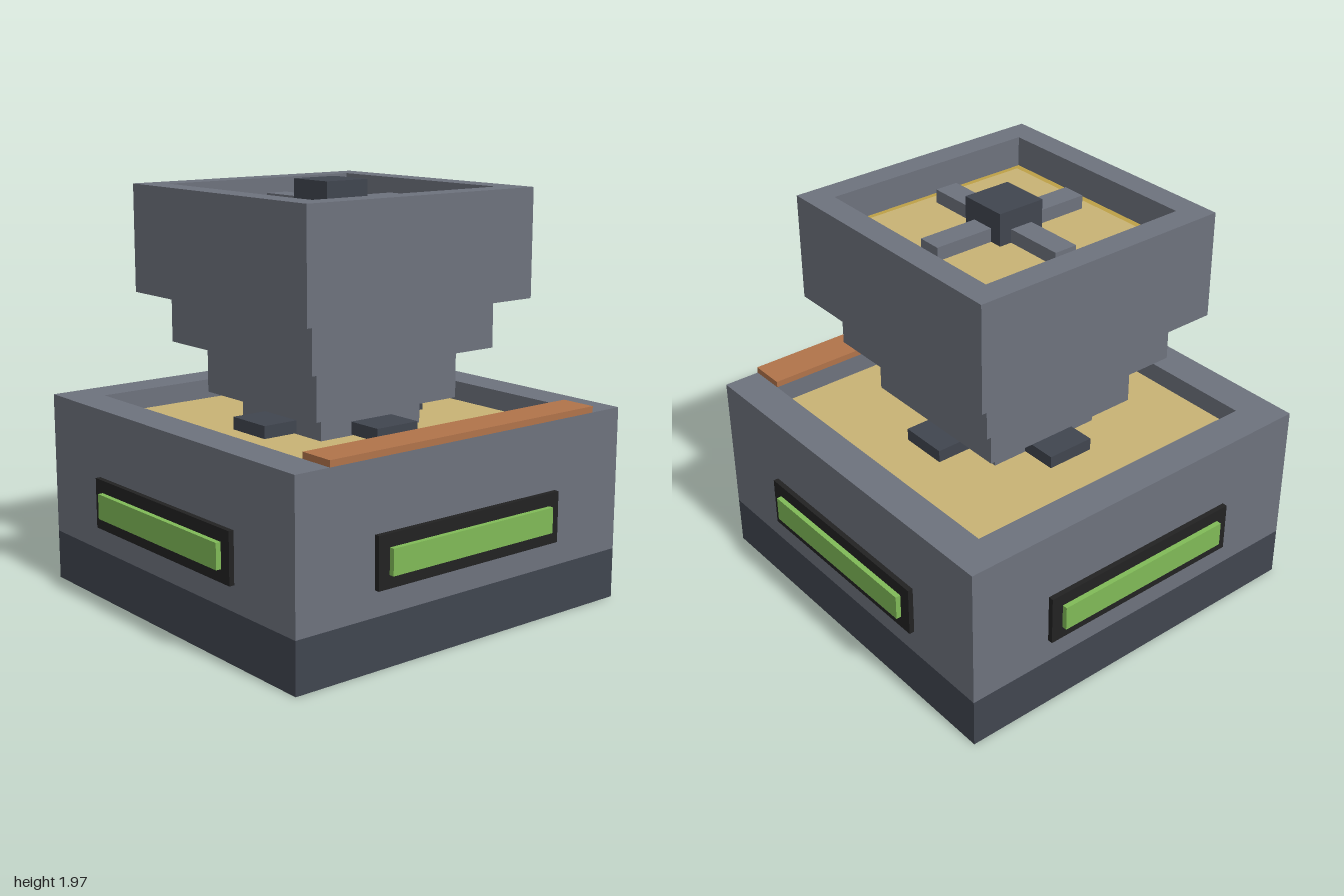
import * as THREE from 'three';

const mat = (name, color) => {
  const m = new THREE.MeshStandardMaterial({ color });
  m.name = name;
  return m;
};

export function createModel() {
  const model = new THREE.Group();
  model.name = 'hopperMachine';

  const casing = mat('casingGrey', 0x6d727d);
  const dark = mat('darkSteel', 0x40454f);
  const black = mat('frameBlack', 0x222222);
  const green = mat('lampGreen', 0x80ba57);
  const copper = mat('copper', 0xb0734a);
  const sand = mat('sand', 0xc8b274);
  const gold = mat('gold', 0xbda046);

  const add = (name, geometry, material, parent = model) => {
    const mesh = new THREE.Mesh(geometry, material);
    mesh.name = name;
    parent.add(mesh);
    return mesh;
  };

  // Box given by its limits on each axis
  const box = (name, material, [x0, x1], [y0, y1], [z0, z1], parent) => {
    const g = new THREE.BoxGeometry(x1 - x0, y1 - y0, z1 - z0);
    g.translate((x0 + x1) / 2, (y0 + y1) / 2, (z0 + z1) / 2);
    return add(name, g, material, parent);
  };
  const block = (name, material, half, y) => box(name, material, [-half, half], y, [-half, half]);

  // Square wall ring standing between two heights
  const square = (path, h) => path.moveTo(-h, -h).lineTo(h, -h).lineTo(h, h).lineTo(-h, h).closePath();
  const ring = (name, outer, inner, [y0, y1]) => {
    const shape = new THREE.Shape();
    square(shape, outer);
    const hole = new THREE.Path();
    square(hole, inner);
    shape.holes.push(hole);
    const g = new THREE.ExtrudeGeometry(shape, { depth: y1 - y0, bevelEnabled: false });
    g.rotateX(-Math.PI / 2).translate(0, y0, 0);
    add(name, g, casing);
  };

  // Base with a shallow sand tray
  block('plinth', dark, 0.95, [0, 0.24]);
  ring('baseWalls', 0.95, 0.773, [0.24, 0.925]);
  block('trayFloor', sand, 0.773, [0.24, 0.83]);
  box('frontPlank', copper, [-0.773, 0.773], [0.925, 0.955], [0.773, 0.95]);

  // Stepped neck and open bowl
  block('neckFoot', casing, 0.297, [0.83, 0.955]);
  block('neckLower', casing, 0.415, [0.955, 1.195]);
  block('neckUpper', casing, 0.534, [1.195, 1.43]);
  ring('bowlWalls', 0.655, 0.534, [1.43, 1.94]);
  block('bowlFloor', gold, 0.534, [1.43, 1.795]);
  block('bowlFill', sand, 0.475, [1.795, 1.815]);
  block('rotorHub', dark, 0.12, [1.815, 1.97]);

  // Lamp, neck bracket and rotor arm repeated on each of the four sides
  ['front', 'left', 'back', 'right'].forEach((side, i) => {
    const group = new THREE.Group();
    group.name = side + 'Side';
    group.rotation.y = i * Math.PI / 2;
    box('lampFrame', black, [-0.534, 0.534], [0.36, 0.6], [0.95, 0.975], group);
    box('lamp', green, [-0.475, 0.475], [0.42, 0.54], [0.975, 1], group);
    box('neckBracket', dark, [-0.12, 0.12], [0.835, 0.895], [0.297, 0.48], group);
    box('rotorArm', casing, [-0.058, 0.058], [1.815, 1.88], [0.12, 0.415], group);
    model.add(group);
  });

  return model;
}
